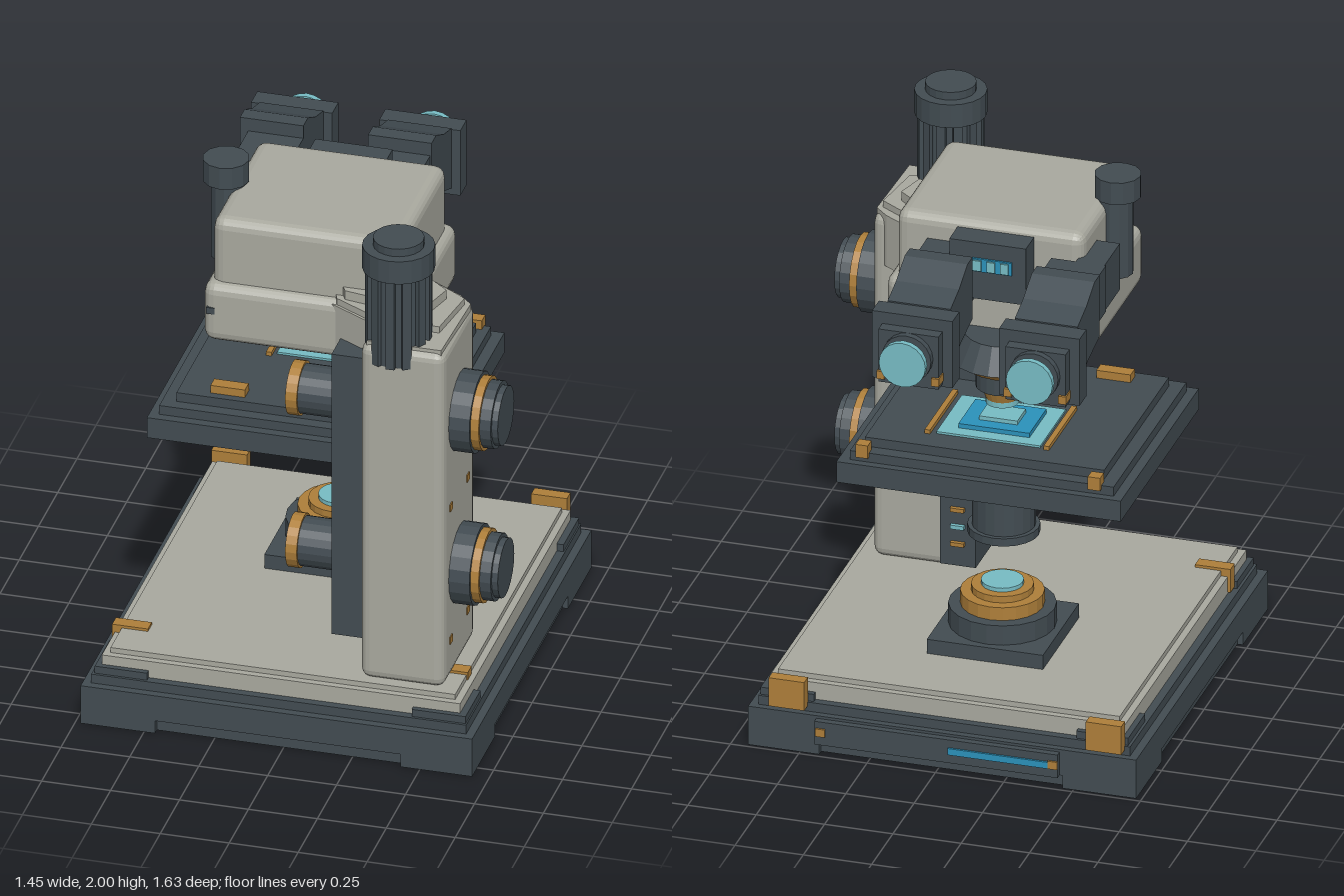
import * as THREE from 'three';
import { RoundedBoxGeometry } from 'three/addons/geometries/RoundedBoxGeometry.js';

const mat = (name, color) => {
  const m = new THREE.MeshStandardMaterial({ color });
  m.name = name;
  return m;
};

export function createModel() {
  const dark = mat('charcoal', 0x424c52), light = mat('warm grey', 0xa9a99f);
  const brass = mat('brass', 0xae7f3a), glass = mat('pale glass', 0x77bcc4), blue = mat('blue glass', 0x2b92bb);
  const root = new THREE.Group();
  root.name = 'microscope';

  const add = (name, geo, m) => {
    const mesh = new THREE.Mesh(geo, m);
    mesh.name = name;
    root.add(mesh);
    return mesh;
  };
  const flat = (g) => {
    const f = g.index ? g.toNonIndexed() : g;
    f.computeVertexNormals();
    return f;
  };
  // box given by its limits on each axis
  const box = (name, m, x0, x1, y0, y1, z0, z1) =>
    add(name, new THREE.BoxGeometry(x1 - x0, y1 - y0, z1 - z0)
      .translate((x0 + x1) / 2, (y0 + y1) / 2, (z0 + z1) / 2), m);
  const softBox = (name, m, r, x0, x1, y0, y1, z0, z1) =>
    add(name, flat(new RoundedBoxGeometry(x1 - x0, y1 - y0, z1 - z0, 2, r)
      .translate((x0 + x1) / 2, (y0 + y1) / 2, (z0 + z1) / 2)), m);
  // upright cylinder between two heights
  const cyl = (name, m, x, z, y0, y1, rBottom, rTop = rBottom, n = 20) =>
    add(name, flat(new THREE.CylinderGeometry(rTop, rBottom, y1 - y0, n).translate(x, (y0 + y1) / 2, z)), m);
  // cylinder lying along x
  const cylX = (name, m, x0, x1, y, z, r, n = 20) =>
    add(name, flat(new THREE.CylinderGeometry(r, r, x1 - x0, n).rotateZ(Math.PI / 2)
      .translate((x0 + x1) / 2, y, z)), m);
  const poly = (pts) => new THREE.Shape(pts.map(([a, b]) => new THREE.Vector2(a, b)));
  // outline in x and z, raised from y0 to y1
  const slab = (name, m, pts, y0, y1) =>
    add(name, new THREE.ExtrudeGeometry(poly(pts), { depth: y1 - y0, bevelEnabled: false })
      .rotateX(Math.PI / 2).translate(0, y1, 0), m);

  // Base: feet, stepped plinth and pale deck
  box('plinthSkirt', dark, -0.71, 0.67, 0, 0.06, -0.71, 0.79);
  for (const [x0, x1] of [[-0.73, -0.46], [0.43, 0.69]])
    for (const [z0, z1] of [[-0.735, -0.43], [0.52, 0.815]]) {
      box('foot', dark, x0, x1, 0, 0.06, z0, z1);
    }
  box('plinth', dark, -0.73, 0.69, 0.05, 0.15, -0.735, 0.815);
  box('plinthStep', dark, -0.7, 0.66, 0.15, 0.185, -0.71, 0.785);
  for (const [x0, x1] of [[-0.69, -0.5], [0.46, 0.655]])
    for (const [z0, z1] of [[-0.7, -0.5], [0.58, 0.775]])
      box('cornerPad', dark, x0, x1, 0.18, 0.213, z0, z1);
  box('deckEdge', light, -0.67, 0.63, 0.18, 0.25, -0.68, 0.755);
  box('deck', light, -0.645, 0.605, 0.25, 0.27, -0.655, 0.73);

  // Deck clips
  for (const [x0, x1] of [[-0.68, -0.55], [0.48, 0.61]]) {
    box('rearClip', brass, x0, x1, 0.17, 0.28, -0.75, -0.705);
    box('frontClip', brass, x0, x1, 0.19, 0.28, 0.535, 0.585);
  }

  // Control strip on the back of the base
  box('controlPanel', dark, -0.45, 0.44, 0.05, 0.14, -0.76, -0.73);
  box('controlStrip', blue, -0.42, -0.05, 0.085, 0.11, -0.768, -0.759);
  for (const x of [-0.45, 0.4]) box('panelScrew', brass, x, x + 0.035, 0.085, 0.115, -0.768, -0.759);

  // Column, rail and arm
  softBox('column', light, 0.035, 0.25, 0.555, 0.265, 1.6, 0.29, 0.7);
  box('rail', dark, 0.12, 0.25, 0.37, 1.49, 0.11, 0.6);
  for (let i = 0; i < 6; i++)
    box('railTooth', i % 2 ? glass : brass, 0.16, 0.21, 0.45 + i * 0.067, 0.465 + i * 0.067, 0.095, 0.112);
  for (const y of [0.42, 0.95])
    for (const z of [0.39, 0.61])
      box('columnScrew', brass, 0.55, 0.559, y - 0.014, y + 0.014, z - 0.014, z + 0.014);
  slab('arm', light, [[0.55, 0.33], [0.5, 0.28], [0.34, 0.18], [0, 0.18], [0.08, 0.46], [0.26, 0.56], [0.27, 0.68], [0.54, 0.68]], 1.41, 1.61);
  slab('armStep', light, [[0.53, 0.34], [0.47, 0.3], [0.34, 0.22], [0, 0.2], [0.1, 0.46], [0.28, 0.56], [0.5, 0.56]], 1.61, 1.635);
  slab('armTop', light, [[0.47, 0.36], [0.34, 0.25], [0, 0.22], [0.13, 0.46], [0.3, 0.49], [0.44, 0.47]], 1.635, 1.67);

  // Head
  softBox('headLower', light, 0.04, -0.385, 0.355, 1.395, 1.625, -0.2, 0.47);
  softBox('headUpper', light, 0.04, -0.36, 0.325, 1.56, 1.87, -0.17, 0.435);
  box('headScrew', dark, -0.37, -0.34, 1.51, 1.535, 0.46, 0.473);
  for (const x of [0.23, -0.2]) box('headRearScrew', dark, x, x + 0.03, 1.5, 1.53, -0.21, -0.19);
  box('headSideScrew', brass, 0.32, 0.329, 1.655, 1.67, 0.025, 0.045);

  // Side knob on the head
  cyl('sideKnobStem', dark, -0.375, 0.16, 1.58, 1.9, 0.065, 0.065, 12);
  cyl('sideKnob', dark, -0.385, 0.16, 1.88, 1.965, 0.083, 0.083, 12);

  // Fluted tower over the column
  cyl('towerNeck', dark, 0.365, 0.6, 1.48, 1.54, 0.05);
  cyl('tower', dark, 0.365, 0.605, 1.53, 1.9, 0.103);
  for (let i = 0; i < 12; i++) {
    const a = i * Math.PI / 6;
    const rib = box('towerRib', dark, -0.016, 0.016, 1.53, 1.88, 0.09, 0.117);
    rib.rotation.y = a;
    rib.position.set(0.365, 0, 0.605);
  }
  cyl('towerCap', dark, 0.365, 0.605, 1.88, 1.97, 0.128);
  cyl('towerTop', dark, 0.365, 0.605, 1.97, 2, 0.09);

  // Eyepieces: sloping bodies with square collars and round lenses
  const body = [[0.36, 1.59], [0.36, 1.83], [0.42, 1.83], [0.52, 1.78], [0.62, 1.75], [0.62, 1.51], [0.5, 1.56]];
  for (const x of [-0.365, 0.1]) {
    add('eyepieceBody', new THREE.ExtrudeGeometry(poly([...body].reverse()), { depth: 0.23, bevelEnabled: false })
      .rotateY(Math.PI / 2).translate(x - 0.115, 0, 0), dark);
    box('eyepieceCollar', dark, x - 0.147, x + 0.147, 1.485, 1.745, -0.7, -0.62);
    box('eyepieceEnd', dark, x - 0.11, x + 0.11, 1.495, 1.7, -0.745, -0.69);
    for (const s of [-1, 1])
      box('eyepieceScrew', brass, x + s * 0.1 - 0.014, x + s * 0.1 + 0.014, 1.51, 1.54, -0.755, -0.7);
    const lens = (name, m, r, z0, z1) =>
      add(name, flat(new THREE.CylinderGeometry(r, r, z1 - z0, 20).rotateX(Math.PI / 2)
        .translate(x, 1.61, (z0 + z1) / 2)), m);
    lens('lensMount', dark, 0.09, -0.77, -0.74);
    lens('lensRim', blue, 0.065, -0.8, -0.77);
    lens('lens', glass, 0.085, -0.82, -0.797);
  }
  box('eyepieceBridge', dark, -0.18, 0.1, 1.62, 1.84, -0.265, -0.16);
  box('bridgeWindow', blue, -0.13, 0.02, 1.73, 1.78, -0.273, -0.264);
  for (let i = 0; i < 3; i++) box('bridgeLight', glass, -0.12 + i * 0.05, -0.09 + i * 0.05, 1.735, 1.775, -0.28, -0.272);
  box('eyepieceArm', dark, 0.02, 0.21, 1.6, 1.78, -0.38, -0.17);
  box('eyepieceArm', dark, -0.45, -0.25, 1.6, 1.78, -0.38, -0.19);
  box('eyepieceSideArm', dark, -0.445, -0.34, 1.6, 1.78, -0.26, -0.01);

  // Objective turret
  cyl('turret', dark, -0.08, -0.2, 1.385, 1.48, 0.19, 0.14);
  cyl('turretRing', brass, -0.09, -0.17, 1.35, 1.39, 0.17, 0.215);
  cyl('objective', dark, -0.065, -0.17, 1.25, 1.36, 0.095);
  cyl('objectiveRing', brass, -0.065, -0.17, 1.205, 1.25, 0.06, 0.075);
  cyl('objectiveLens', glass, -0.065, -0.17, 1.185, 1.205, 0.06);
  cyl('sideObjective', dark, -0.215, -0.06, 1.28, 1.37, 0.06, 0.06, 12);
  cyl('sideObjectiveRing', brass, -0.215, -0.06, 1.265, 1.3, 0.045, 0.063, 12);
  cyl('sideObjectiveLens', glass, -0.215, -0.06, 1.245, 1.266, 0.035, 0.035, 12);

  // Stage with slide, rails and clips
  box('stage', dark, -0.6, 0.44, 0.95, 1.03, -0.5, 0.42);
  box('stageStep', dark, -0.565, 0.4, 1.03, 1.065, -0.47, 0.385);
  box('stageTop', dark, -0.515, 0.36, 1.065, 1.1, -0.42, 0.34);
  for (const x of [-0.52, 0.33]) box('stageStop', brass, x, x + 0.045, 1.05, 1.1, -0.485, -0.44);
  box('stageClip', brass, -0.4, -0.275, 1.1, 1.13, 0.26, 0.31);
  for (const x of [-0.285, 0.15]) box('slideRail', brass, x, x + 0.02, 1.095, 1.115, -0.33, 0);
  box('slide', glass, -0.25, 0.13, 1.1, 1.108, -0.32, -0.02);
  box('slideField', blue, -0.195, 0.065, 1.108, 1.125, -0.27, -0.07);
  box('coverGlass', glass, -0.135, 0.005, 1.125, 1.14, -0.22, -0.12);
  box('stageLatch', brass, 0.08, 0.13, 0.915, 0.95, 0.05, 0.08);

  // Condenser under the stage
  cyl('condenserCollar', dark, -0.07, -0.17, 0.91, 0.955, 0.1);
  cyl('condenserRing', brass, -0.07, -0.17, 0.86, 0.91, 0.13);
  cyl('condenser', dark, -0.07, -0.17, 0.71, 0.865, 0.112);
  cyl('condenserLip', dark, -0.07, -0.17, 0.68, 0.71, 0.128);

  // Lamp on the deck
  box('lampPlate', dark, -0.28, 0.145, 0.27, 0.325, -0.385, 0.04);
  cyl('lampHousing', dark, -0.065, -0.17, 0.32, 0.4, 0.19);
  cyl('lampRing', brass, -0.065, -0.17, 0.4, 0.45, 0.148);
  cyl('lampRingTop', brass, -0.065, -0.17, 0.45, 0.475, 0.11);
  cyl('lampGlass', glass, -0.065, -0.17, 0.475, 0.49, 0.075);

  // Focus knobs on both sides of the column
  for (const y of [1.275, 0.665]) {
    cylX('focusKnob', dark, 0.55, 0.63, y, 0.49, 0.147);
    cylX('focusRing', brass, 0.63, 0.66, y, 0.49, 0.134);
    cylX('focusGrip', dark, 0.66, 0.7, y, 0.49, 0.122);
    cylX('focusCap', dark, 0.7, 0.722, y, 0.49, 0.108);
    cylX('innerKnob', dark, -0.01, 0.13, y, 0.49, 0.09);
    cylX('innerKnobRing', brass, -0.052, -0.01, y, 0.49, 0.098);
  }

  return root;
}
